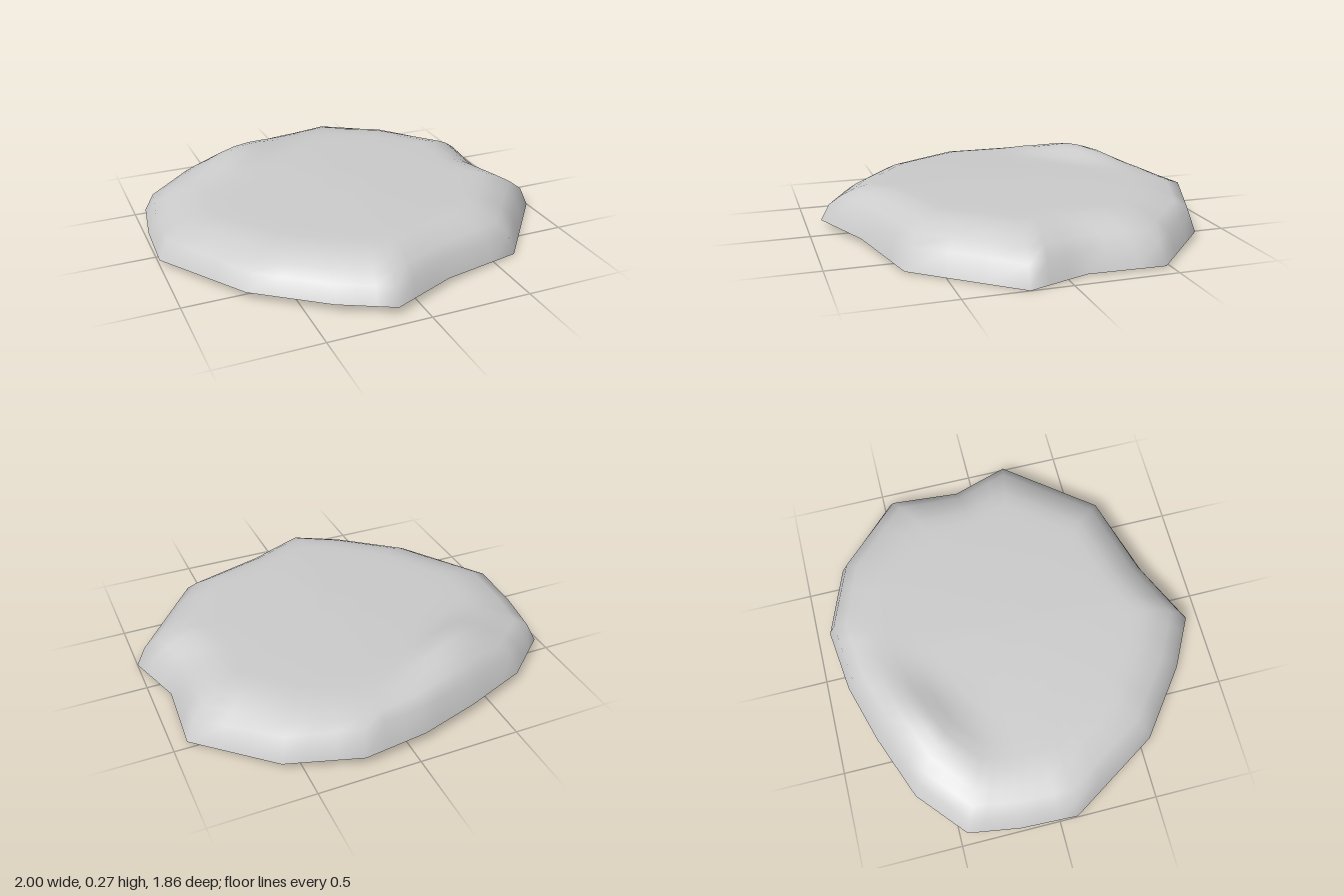
import * as THREE from 'three';

// Rim corners, clockwise from the back: x, y, z, height of the shoulder
const rim = [
  [0.24, 0.05, -0.93, 0.18], [0.59, 0.03, -0.8, 0.15], [0.93, 0.01, -0.47, 0.11], [0.905, 0.005, -0.1, 0.1],
  [1, 0, 0.2, 0.1], [0.63, 0.005, 0.66, 0.11], [0.2, 0.03, 0.78, 0.12], [-0.13, 0.04, 0.93, 0.12],
  [-0.38, 0.04, 0.8, 0.12], [-0.71, 0.04, 0.55, 0.12], [-1, 0.03, 0.09, 0.13], [-0.99, 0.035, -0.2, 0.13],
  [-0.95, 0.04, -0.46, 0.13], [-0.71, 0.045, -0.67, 0.14], [-0.38, 0.05, -0.8, 0.15], [-0.08, 0.05, -0.89, 0.17],
];
const SUB = 3;
const rings = [1, 0.955, 0.89, 0.82, 0.75, 0.68, 0.61, 0.54, 0.46, 0.3, 0.15];

// Gently domed top, a little lower to the left
const plateau = (x, z) => 0.228 - 0.025 * x * x - 0.015 * z * z - 0.025 * Math.max(0, -x);

// Raised ridge at the back left: steep toward the middle, gentle toward the rim
function ridge(x, z, t) {
  const dx = x + 0.39, dz = z + 0.55;
  const along = (dx * 0.86 - dz * 0.5) / 0.3;
  const across = dx * 0.5 + dz * 0.86;
  const c = across / (across > 0 ? 0.12 : 0.2);
  return 0.065 * Math.exp(-along * along - c * c) * Math.min(1, (1 - t) / 0.12);
}

function height(x, z, t, base, shoulder) {
  if (t === 1) return base;
  const k = Math.min(1, (0.955 - t) / 0.25);
  const ease = 1 - (1 - k) * (1 - k);
  return shoulder + (plateau(x, z) - shoulder) * ease + ridge(x, z, t);
}

// Open-bottomed shell made of rings shrinking to the centre
function slabGeometry() {
  const n = rim.length * SUB;
  const pos = [], index = [];
  for (const t of rings) {
    for (let i = 0; i < n; i++) {
      const a = rim[Math.floor(i / SUB)];
      const b = rim[(Math.floor(i / SUB) + 1) % rim.length];
      const [rx, ry, rz, s] = a.map((v, k) => v + (b[k] - v) * (i % SUB) / SUB);
      const x = rx * t, z = rz * t;
      pos.push(x, height(x, z, t, ry, s), z);
    }
  }
  const centre = pos.length / 3;
  pos.push(0, plateau(0, 0), 0);
  for (let r = 0; r < rings.length; r++) {
    for (let i = 0; i < n; i++) {
      const j = (i + 1) % n;
      const a = r * n + i, b = r * n + j;
      if (r === rings.length - 1) index.push(centre, b, a);
      else index.push(a, a + n, b, b, a + n, b + n);
    }
  }
  const g = new THREE.BufferGeometry();
  g.setAttribute('position', new THREE.Float32BufferAttribute(pos, 3));
  g.setIndex(index);
  g.computeVertexNormals();
  return g;
}

export function createModel() {
  const group = new THREE.Group();
  group.name = 'flatStone';
  const stone = new THREE.Mesh(slabGeometry(),
    new THREE.MeshStandardMaterial({ color: 0xcccccc, side: THREE.DoubleSide }));
  stone.name = 'stoneSlab';
  group.add(stone);
  return group;
}
